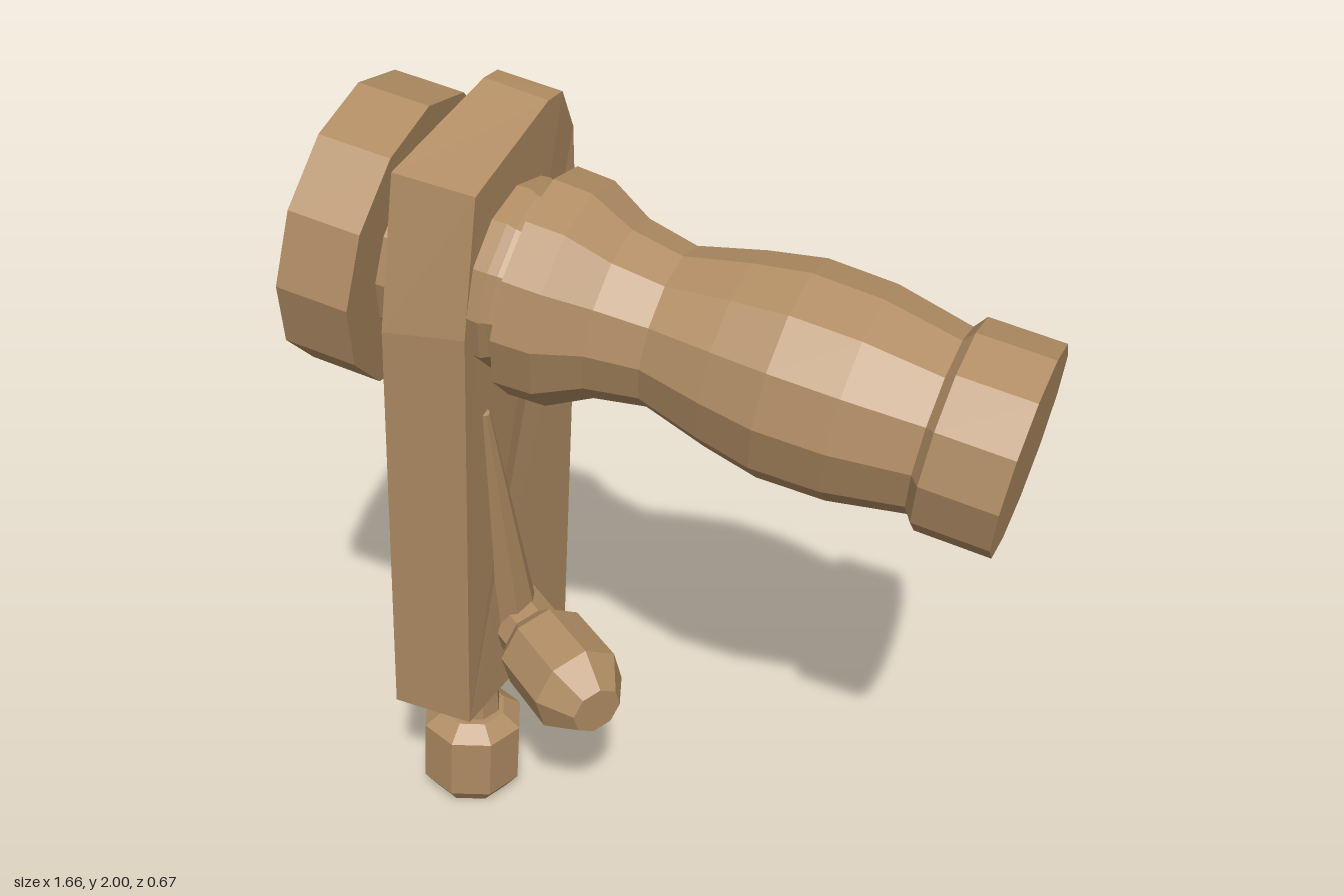
import * as THREE from 'three';

const wood = new THREE.MeshStandardMaterial({ color: 0xb08c63 });
wood.name = 'tanWood';

// Facet a geometry so every face has its own normal
function faceted(geometry) {
  const g = geometry.index ? geometry.toNonIndexed() : geometry;
  g.computeVertexNormals();
  return g;
}

function part(name, geometry) {
  const mesh = new THREE.Mesh(faceted(geometry), wood);
  mesh.name = name;
  return mesh;
}

// Turned part: profile of [radius, distance along axis], running from point a towards b
function turned(name, profile, sides, a, b) {
  const points = profile.map(([r, s]) => new THREE.Vector2(r, s));
  const mesh = part(name, new THREE.LatheGeometry(points, sides));
  const from = new THREE.Vector3(...a);
  const dir = new THREE.Vector3(...b).sub(from).normalize();
  mesh.position.copy(from);
  mesh.quaternion.setFromUnitVectors(new THREE.Vector3(0, 1, 0), dir);
  return mesh;
}

// Arm: two matching outlines, skinned round the rim and capped on both sides
function armGeometry() {
  const right = [
    [-0.51, 0.39, 0.165], [-0.415, 1.55, 0.235], [-0.385, 1.88, 0.2], [-0.35, 1.97, -0.11],
    [-0.345, 1.965, -0.175], [-0.355, 1.85, -0.25], [-0.37, 1.5, -0.28], [-0.44, 0.415, -0.285],
  ];
  const left = [
    [-0.7, 0.425, 0.185], [-0.6, 1.55, 0.26], [-0.57, 1.91, 0.21], [-0.5, 2.0, -0.11],
    [-0.5, 1.99, -0.18], [-0.59, 1.83, -0.3], [-0.615, 1.6, -0.335], [-0.75, 0.44, -0.335],
  ];
  const n = right.length;
  const positions = [];
  const tri = (a, b, c) => positions.push(...a, ...b, ...c);
  for (let i = 0; i < n; i++) {
    const j = (i + 1) % n;
    tri(right[i], right[j], left[i]);
    tri(right[j], left[j], left[i]);
  }
  for (let i = 1; i < n - 1; i++) {
    tri(right[0], right[i + 1], right[i]);
    tri(left[0], left[i], left[i + 1]);
  }
  const g = new THREE.BufferGeometry();
  g.setAttribute('position', new THREE.Float32BufferAttribute(positions, 3));
  return g;
}

// Stem under the arm, flared out to the left at its top
function stemGeometry() {
  const g = new THREE.CylinderGeometry(0.07, 0.07, 0.2, 8);
  const p = g.attributes.position;
  for (let i = 0; i < p.count; i++) {
    if (p.getY(i) > 0 && p.getX(i) < -0.04) p.setX(i, p.getX(i) - 0.06);
  }
  return g;
}

export function createModel() {
  const group = new THREE.Group();
  group.name = 'crankHandle';

  // Main axis: end disc, neck, grip and end cap
  const start = [-0.79, 1.672, 0];
  const end = [0.785, 1.425, 0.05];
  group.add(turned('endDisc', [[0, 0], [0.335, 0], [0.335, 0.17], [0, 0.17]], 12, start, end));
  group.add(turned('neck', [[0, 0.16], [0.21, 0.16], [0.21, 0.44], [0.2, 0.47], [0, 0.47]], 12, start, end));
  group.add(turned('grip', [
    [0, 0.37], [0.215, 0.37], [0.22, 0.42], [0.2, 0.455], [0.262, 0.47], [0.258, 0.56], [0.205, 0.66],
    [0.183, 0.78], [0.222, 0.93], [0.247, 1.06], [0.243, 1.22], [0.205, 1.42], [0, 1.42],
  ], 12, start, end));
  group.add(turned('endCap', [
    [0, 1.395], [0.205, 1.395], [0.238, 1.42], [0.238, 1.594], [0, 1.594],
  ], 12, start, end));

  group.add(part('arm', armGeometry()));

  // Long tapering rib on the face of the arm
  group.add(turned('rib', [[0, 0], [0.075, 0], [0.012, 0.75], [0, 0.75]], 8,
    [-0.485, 0.58, -0.05], [-0.43, 1.3, 0.13]));

  // Side peg
  group.add(turned('sidePeg', [
    [0, 0], [0.082, 0], [0.082, 0.12], [0.12, 0.165], [0.122, 0.34], [0.065, 0.425], [0, 0.425],
  ], 8, [-0.49, 0.585, -0.07], [-0.15, 0.55, 0.19]));

  // Lower peg and its stem
  const stem = part('lowerStem', stemGeometry());
  stem.position.set(-0.6, 0.335, -0.04);
  group.add(stem);
  group.add(turned('lowerPeg', [
    [0, 0], [0.1, 0], [0.132, 0.045], [0.132, 0.22], [0.085, 0.255], [0, 0.255],
  ], 8, [-0.62, 0.01, -0.035], [-0.6, 0.265, -0.035]));

  return group;
}
